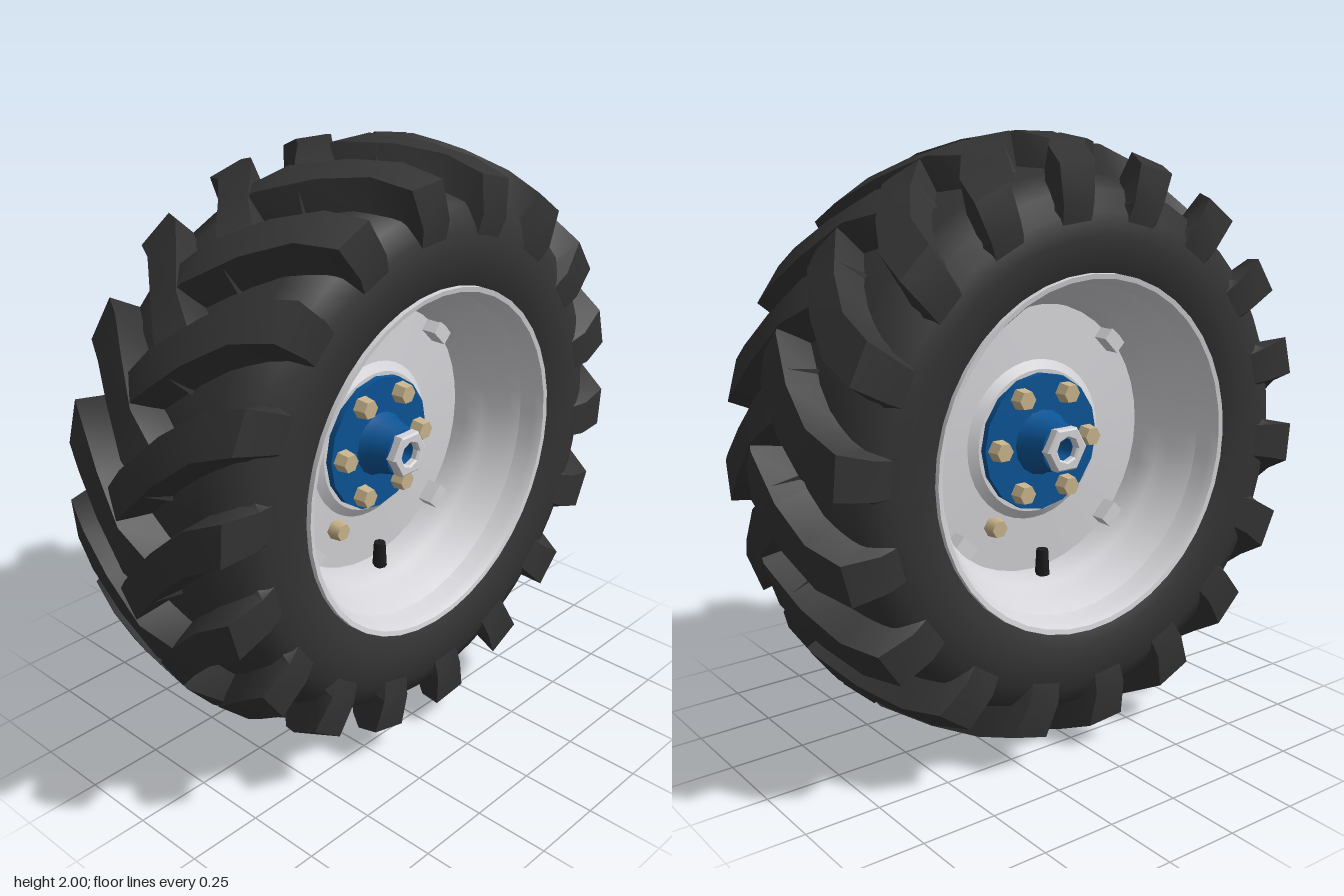
import * as THREE from 'three';
import { mergeGeometries, toCreasedNormals } from 'three/addons/utils/BufferGeometryUtils.js';

const mat = (name, color, side = THREE.FrontSide) => {
  const m = new THREE.MeshStandardMaterial({ color, side });
  m.name = name;
  return m;
};
const rad = THREE.MathUtils.degToRad;

// Lathe around the x axle from [radius, x] pairs
function axleLathe(points, segments, crease = 0.5) {
  const g = new THREE.LatheGeometry(points.map(([r, x]) => new THREE.Vector2(r, x)), segments);
  g.rotateZ(-Math.PI / 2);
  g.deleteAttribute('normal');
  return toCreasedNormals(g, crease);
}

// Complete a half profile (centre to +x edge) with its mirror image
const mirrored = half => [...half.slice().reverse().map(([r, x]) => [r, -x]), ...half];

// Tread bar stations from centre line over the shoulder and down the sidewall:
// [top radius, top x, base radius, base x, angle in degrees]
const BAR = [
  [0.972, -0.085, 0.87, -0.10, 22],
  [1.0, 0.0, 0.87, 0.0, 17],
  [0.985, 0.12, 0.865, 0.12, 9.5],
  [0.962, 0.235, 0.84, 0.235, 3.5],
  [0.92, 0.345, 0.80, 0.30, 0.5],
  [0.80, 0.361, 0.78, 0.31, -0.5],
  [0.68, 0.335, 0.69, 0.32, -1],
];

function treadBar(side, angle) {
  const pos = [], idx = [];
  for (const [rt, xt, rb, xb, a] of BAR) {
    for (const [r, x, w] of [[rb, xb, -6], [rt, xt, -4.2], [rt, xt, 4.2], [rb, xb, 6]]) {
      const t = rad(angle + a + w);
      pos.push(side * x, r * Math.cos(t), r * Math.sin(t));
    }
  }
  const tri = (a, b, c) => (side > 0 ? idx.push(a, b, c) : idx.push(a, c, b));
  for (let i = 0; i < BAR.length - 1; i++) {
    for (let j = 0; j < 3; j++) {
      const p = i * 4 + j;
      tri(p, p + 1, p + 5);
      tri(p, p + 5, p + 4);
    }
  }
  tri(0, 3, 2);
  tri(0, 2, 1);
  const g = new THREE.BufferGeometry();
  g.setAttribute('position', new THREE.Float32BufferAttribute(pos, 3));
  g.setIndex(idx);
  return toCreasedNormals(g, 0.6);
}

export function createModel() {
  const rubber = mat('rubber', 0x333333);
  const rimPaint = mat('rim paint', 0xd4d4d8, THREE.DoubleSide);
  const hubBlue = mat('hub blue', 0x0b5394, THREE.DoubleSide);
  const brass = mat('brass', 0xc8b48c);
  const black = mat('valve black', 0x1c1c1c);

  const wheel = new THREE.Group();
  wheel.name = 'wheel';
  const add = (parent, name, geo, material, x = 0, y = 0, z = 0) => {
    const m = new THREE.Mesh(geo, material);
    m.name = name;
    m.position.set(x, y, z);
    parent.add(m);
    return m;
  };

  // Tyre body and interleaved tread bars
  add(wheel, 'tyreBody', axleLathe(mirrored([
    [0.89, 0], [0.875, 0.2], [0.83, 0.31], [0.76, 0.345], [0.69, 0.354], [0.62, 0.348], [0.57, 0.325],
  ]), 54, 0.9), rubber);
  const bars = [];
  for (let i = 0; i < 18; i++) {
    bars.push(treadBar(1, i * 20 + 5), treadBar(-1, i * 20 + 15));
  }
  add(wheel, 'treadBars', mergeGeometries(bars), rubber);

  // Stepped rim barrel, open at both sides
  add(wheel, 'rim', axleLathe(mirrored([
    [0.455, 0], [0.455, 0.08], [0.475, 0.14], [0.5, 0.17], [0.51, 0.23],
    [0.54, 0.26], [0.545, 0.315], [0.562, 0.342], [0.578, 0.345], [0.58, 0.32],
  ]), 40, 0.7), rimPaint);

  // Hub spindle with a bore right through it
  add(wheel, 'hub', axleLathe([
    [0.036, -0.2], ...mirrored([[0.23, 0], [0.23, 0.088], [0.11, 0.09], [0.095, 0.12], [0.078, 0.19]]), [0.036, 0.2], [0.036, -0.2],
  ], 16), hubBlue);

  // Fittings repeated on each side
  for (const turn of [0, Math.PI]) {
    const face = new THREE.Group();
    face.name = turn ? 'rightFace' : 'leftFace';
    face.rotation.y = turn;
    wheel.add(face);

    add(face, 'disc', axleLathe([[0.46, 0.035], [0.27, 0.045], [0.24, 0.065], [0.2, 0.065]], 40), rimPaint);

    // Hexagonal axle nut with a hole
    const hex = new THREE.Shape();
    for (let i = 0; i < 6; i++) {
      const t = i * Math.PI / 3;
      hex[i ? 'lineTo' : 'moveTo'](0.08 * Math.cos(t), 0.08 * Math.sin(t));
    }
    hex.closePath();
    hex.holes.push(new THREE.Path().absarc(0, 0, 0.04, 0, Math.PI * 2, true));
    const nut = new THREE.ExtrudeGeometry(hex, {
      depth: 0.03, bevelEnabled: true, bevelSize: 0.006, bevelThickness: 0.006, bevelOffset: -0.006, bevelSegments: 1, curveSegments: 4,
    });
    nut.rotateY(Math.PI / 2);
    add(face, 'axleNut', nut, rimPaint, 0.188);

    // Wheel nuts
    for (let i = 0; i < 6; i++) {
      const t = i * Math.PI / 3;
      const g = new THREE.CylinderGeometry(0.032, 0.038, 0.045, 6).toNonIndexed();
      g.computeVertexNormals();
      g.rotateZ(-Math.PI / 2);
      add(face, 'wheelNut', g, brass, 0.11, 0.182 * Math.sin(t), 0.182 * Math.cos(t));
    }

    // Rim brackets
    for (let i = 0; i < 4; i++) {
      const t = Math.PI / 4 + i * Math.PI / 2;
      const b = add(face, 'rimBracket', new THREE.BoxGeometry(0.06, 0.05, 0.075), rimPaint,
        0.062, 0.435 * Math.cos(t), 0.435 * Math.sin(t));
      b.rotation.x = t;
    }

    // Air valve and the small plug beside it
    add(face, 'valveStem', new THREE.CylinderGeometry(0.02, 0.025, 0.09, 8), black, 0.09, -0.415, 0);
    const plug = add(face, 'discPlug', new THREE.CylinderGeometry(0.03, 0.036, 0.05, 6), brass, 0.06, -0.27, 0.17);
    plug.rotation.z = -Math.PI / 2;
  }

  wheel.position.y = 1;
  const model = new THREE.Group();
  model.name = 'tractorWheel';
  model.add(wheel);
  return model;
}
